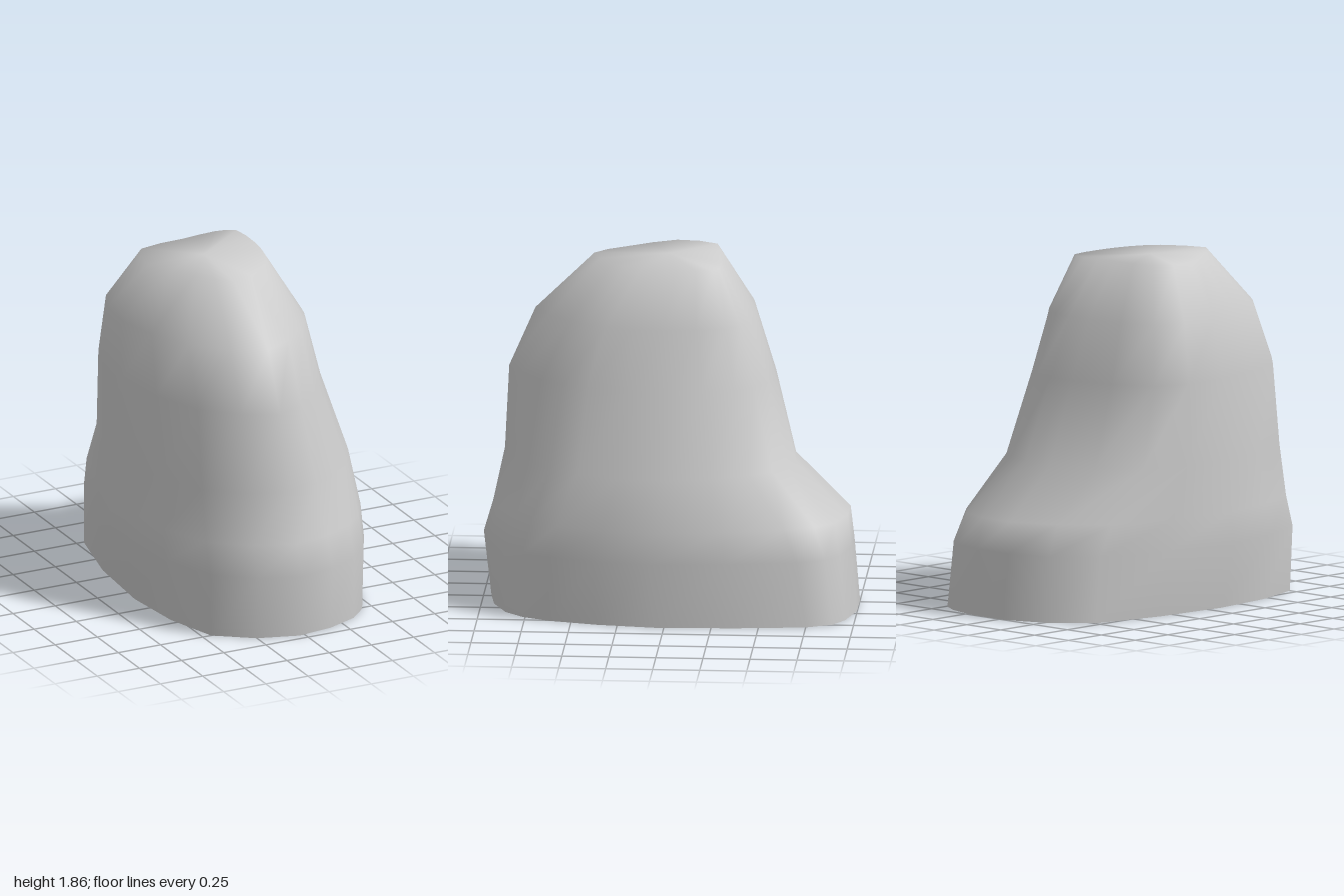
import * as THREE from 'three';

// Cross-sections from bottom to top: height, then ten x, z points
// running from the left side round the front, right side and back.
const SECTIONS = [
  [0.00, [.62, .05, .51, .62, .34, .86, -.03, .96, -.45, .75, -.58, .10, -.46, -.74, -.03, -1.0, .39, -.95, .56, -.75]],
  [0.35, [.65, .08, .52, .62, .34, .87, -.03, 1.0, -.46, .76, -.65, .12, -.47, -.72, -.03, -.97, .39, -.92, .55, -.70]],
  [0.52, [.64, .04, .52, .58, .33, .82, -.04, .95, -.46, .71, -.64, .10, -.49, -.65, -.03, -.95, .35, -.89, .52, -.63]],
  [0.80, [.61, .00, .50, .47, .30, .74, -.06, .89, -.46, .66, -.64, .08, -.53, -.45, -.05, -.66, .27, -.64, .46, -.44]],
  [1.24, [.42, .00, .36, .42, .20, .68, -.10, .87, -.46, .61, -.63, .04, -.55, -.39, -.10, -.55, .18, -.53, .36, -.36]],
  [1.56, [.36, .02, .31, .33, .19, .53, -.10, .73, -.45, .48, -.61, .00, -.52, -.36, -.12, -.44, .14, -.43, .30, -.31]],
  [1.85, [.20, -.04, .17, .15, .08, .31, -.15, .42, -.30, .25, -.45, .00, -.38, -.22, -.12, -.25, .08, -.27, .19, -.23]],
];
const SIDES = 20;

// Closed curve through the points of one section, sampled evenly
function ring([y, p]) {
  const points = [];
  for (let i = 0; i < p.length; i += 2) points.push(new THREE.Vector3(p[i], y, p[i + 1]));
  const curve = new THREE.CatmullRomCurve3(points, true, 'catmullrom', 0.4);
  return Array.from({ length: SIDES }, (_, j) => curve.getPoint(j / SIDES));
}

// Skin over all sections, closed at the top and open underneath
function rockGeometry() {
  const points = SECTIONS.flatMap(ring);
  const index = [];
  const at = (i, j) => i * SIDES + (j % SIDES);
  for (let i = 0; i < SECTIONS.length - 1; i++) {
    for (let j = 0; j < SIDES; j++) {
      const a = at(i, j), b = at(i, j + 1), c = at(i + 1, j), d = at(i + 1, j + 1);
      index.push(a, c, b, b, c, d);
    }
  }
  const last = SECTIONS.length - 1;
  const crown = points.length;
  points.push(new THREE.Vector3(-0.13, 1.86, 0.02));
  for (let j = 0; j < SIDES; j++) index.push(crown, at(last, j + 1), at(last, j));

  const geometry = new THREE.BufferGeometry().setFromPoints(points);
  geometry.setIndex(index);
  geometry.computeVertexNormals();
  return geometry;
}

export function createModel() {
  const group = new THREE.Group();
  group.name = 'boulder';
  const material = new THREE.MeshStandardMaterial({ color: 0xcccccc, side: THREE.DoubleSide });
  const rock = new THREE.Mesh(rockGeometry(), material);
  rock.name = 'rock';
  group.add(rock);
  return group;
}
